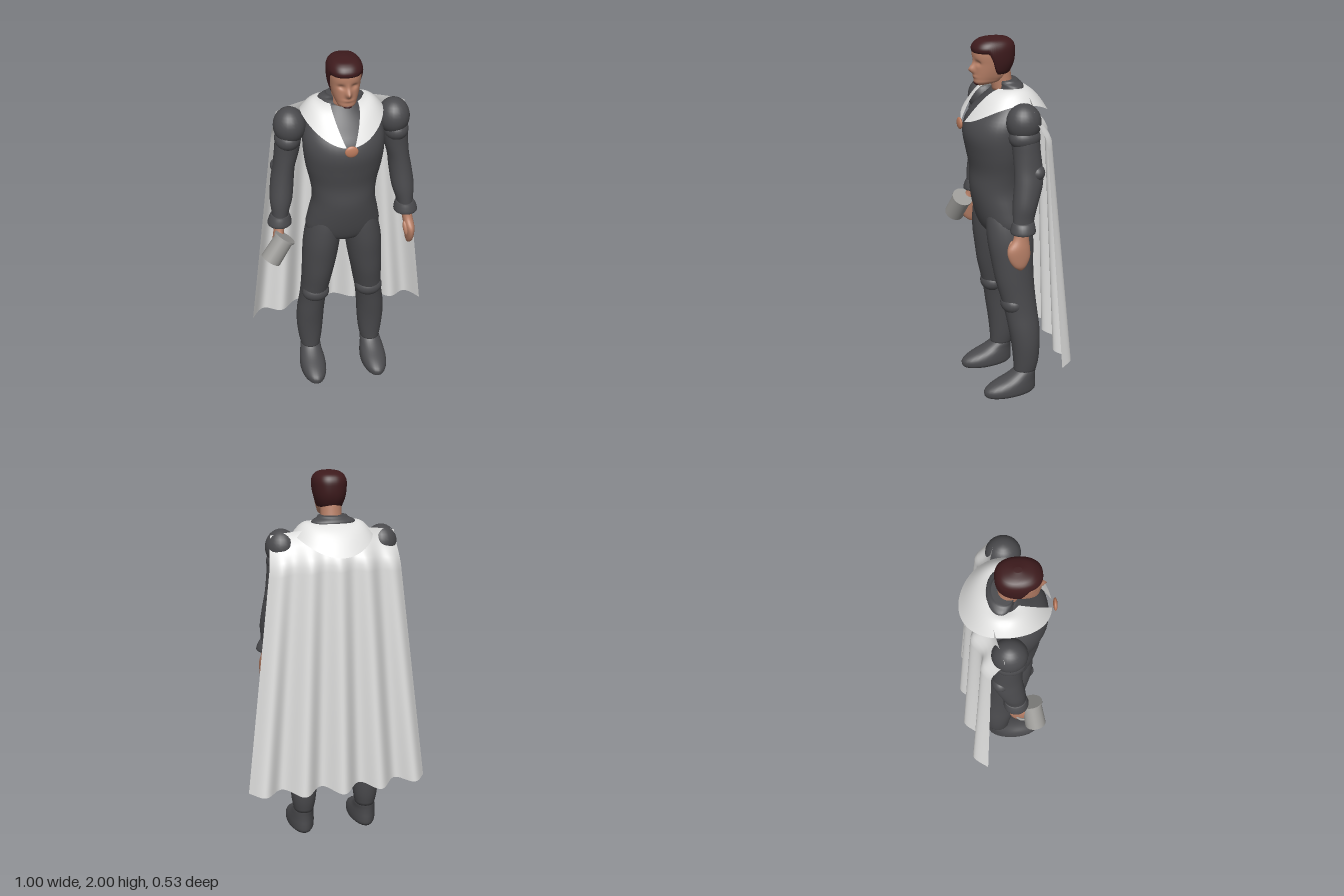
import * as THREE from 'three';

const mat = (name, color, side = THREE.FrontSide) => {
  const m = new THREE.MeshStandardMaterial({ color, side });
  m.name = name;
  return m;
};
const { lerp, smoothstep } = THREE.MathUtils;

// Smooth surface from a rule fn(u, v) -> [x, y, z]; optionally joined around u and capped.
function grid(fn, nu, nv, closed = false, caps = false) {
  const pos = [], idx = [], cols = closed ? nu : nu + 1;
  for (let j = 0; j <= nv; j++)
    for (let i = 0; i < cols; i++) pos.push(...fn(i / nu, j / nv));
  for (let j = 0; j < nv; j++)
    for (let i = 0; i < nu; i++) {
      const k = (i + 1) % cols, a = j * cols + i, b = j * cols + k;
      idx.push(a, b, a + cols, b, b + cols, a + cols);
    }
  if (caps) [0, nv].forEach((j) => {
    const c = pos.length / 3, mid = [0, 0, 0];
    for (let i = 0; i < cols; i++)
      for (let k = 0; k < 3; k++) mid[k] += pos[(j * cols + i) * 3 + k] / cols;
    pos.push(...mid);
    for (let i = 0; i < cols; i++) {
      const a = j * cols + i, b = j * cols + (i + 1) % cols;
      idx.push(...(j ? [a, b, c] : [b, a, c]));
    }
  });
  const g = new THREE.BufferGeometry();
  g.setAttribute('position', new THREE.Float32BufferAttribute(pos, 3));
  g.setIndex(idx);
  g.computeVertexNormals();
  return g;
}

// Body part from horizontal ovals, bottom to top: [y, centre x, half width, front z, back z].
function loft(sections, side = 1, nu = 28, steps = 4) {
  const n = sections.length - 1;
  const curve = new THREE.CubicInterpolant(sections.map((_, i) => i), new Float32Array(sections.flat()), 5);
  return grid((u, v) => {
    const [y, cx, hx, zf, zb] = curve.evaluate(v * n), a = u * Math.PI * 2;
    return [side * cx + Math.max(hx, 0.001) * Math.sin(a), y, (zf + zb) / 2 + (zf - zb) / 2 * Math.cos(a)];
  }, nu, n * steps, true, true);
}

const torso = [
  [0.92, 0, 0.06, 0.06, -0.06], [0.95, 0, 0.15, 0.12, -0.1], [1.0, 0, 0.2, 0.15, -0.11],
  [1.1, 0, 0.187, 0.178, -0.108], [1.2, 0, 0.168, 0.194, -0.09], [1.3, 0, 0.178, 0.192, -0.088],
  [1.4, 0, 0.2, 0.21, -0.1], [1.5, 0, 0.212, 0.225, -0.11], [1.58, 0, 0.208, 0.2, -0.11],
  [1.65, 0, 0.175, 0.135, -0.09], [1.7, 0, 0.12, 0.09, -0.08], [1.73, 0, 0.09, 0.06, -0.06]];
const leg = [
  [0.13, 0.178, 0.054, 0.018, -0.108], [0.2, 0.178, 0.067, 0.022, -0.122], [0.3, 0.178, 0.076, 0.032, -0.127],
  [0.4, 0.173, 0.077, 0.048, -0.127], [0.5, 0.161, 0.075, 0.065, -0.118], [0.6, 0.148, 0.08, 0.088, -0.11],
  [0.7, 0.137, 0.087, 0.112, -0.105], [0.8, 0.126, 0.095, 0.128, -0.106], [0.9, 0.116, 0.099, 0.143, -0.11],
  [0.98, 0.106, 0.096, 0.148, -0.107], [1.06, 0.095, 0.085, 0.146, -0.1], [1.16, 0.08, 0.06, 0.13, -0.07]];
const boot = [
  [0, 0.18, 0.058, 0.185, -0.094], [0.015, 0.18, 0.071, 0.199, -0.105], [0.045, 0.18, 0.074, 0.196, -0.106],
  [0.075, 0.18, 0.07, 0.15, -0.104], [0.105, 0.18, 0.062, 0.075, -0.104], [0.135, 0.178, 0.056, 0.022, -0.106],
  [0.155, 0.178, 0.045, 0.01, -0.1]];
const arm = [
  [1.07, 0.343, 0.042, 0.095, -0.012], [1.13, 0.338, 0.047, 0.095, -0.02], [1.2, 0.33, 0.06, 0.092, -0.04],
  [1.3, 0.318, 0.061, 0.08, -0.072], [1.38, 0.306, 0.058, 0.075, -0.075], [1.46, 0.291, 0.064, 0.076, -0.07],
  [1.54, 0.28, 0.067, 0.08, -0.065], [1.62, 0.27, 0.06, 0.07, -0.05]];
const cuff = [
  [1.045, 0.345, 0.045, 0.09, -0.005], [1.055, 0.345, 0.064, 0.11, -0.022], [1.085, 0.343, 0.059, 0.105, -0.02],
  [1.11, 0.34, 0.048, 0.096, -0.016]];
const hand = [
  [0.85, 0.362, 0.008, 0.075, 0.05], [0.875, 0.364, 0.019, 0.105, 0.03], [0.92, 0.363, 0.025, 0.13, 0.012],
  [0.97, 0.36, 0.028, 0.135, 0.012], [1.02, 0.352, 0.028, 0.1, 0.015], [1.08, 0.343, 0.032, 0.085, 0.01]];
const neckCollar = [
  [1.69, 0, 0.125, 0.07, -0.085], [1.74, 0, 0.12, 0.05, -0.086], [1.755, 0, 0.108, 0.05, -0.08],
  [1.765, 0, 0.086, 0.056, -0.07], [1.775, 0, 0.078, 0.056, -0.06]];
const neck = [[1.72, 0, 0.058, 0.07, -0.04], [1.78, 0, 0.056, 0.08, -0.03], [1.85, 0, 0.056, 0.09, -0.02]];

// Head ovals by height: [y, half width, front z, back z].
const skull = [
  [1.755, 0.018, 0.158, 0.115], [1.768, 0.044, 0.17, 0.05], [1.79, 0.057, 0.172, 0.005], [1.82, 0.067, 0.172, -0.015],
  [1.87, 0.077, 0.172, -0.032], [1.92, 0.082, 0.177, -0.037], [1.955, 0.079, 0.17, -0.034], [1.98, 0.064, 0.148, -0.018],
  [1.992, 0.044, 0.122, 0.006], [2.0, 0.006, 0.075, 0.055]];
const skullCurve = new THREE.CubicInterpolant(skull.map((s) => s[0]), new Float32Array(skull.map((s) => s.slice(1)).flat()), 3);
const squared = (t) => Math.sign(t) * Math.abs(t) ** 0.85;
function skullPoint(a, y, grow) {
  const [hx, zf, zb] = skullCurve.evaluate(y);
  return [(hx + grow) * squared(Math.sin(a)), y, (zf + zb) / 2 + ((zf - zb) / 2 + grow) * squared(Math.cos(a))];
}
const bump = (x, y, cx, cy, rx, ry) => Math.exp(-(((x - cx) / rx) ** 2) - ((y - cy) / ry) ** 2);

export function createModel() {
  const suit = mat('dark grey suit', 0x4a4a4d), skin = mat('skin', 0xb98168), hairMat = mat('dark red hair', 0x3e1b1d),
    cloth = mat('white cloth', 0xe2e2e1, THREE.DoubleSide), copper = mat('copper', 0xbd7c5e), metal = mat('grey metal', 0x9b9a97);
  const model = new THREE.Group();
  const add = (name, geo, m, p = [0, 0, 0], s = [1, 1, 1], parent = model) => {
    const mesh = new THREE.Mesh(geo, m);
    mesh.name = name;
    mesh.position.set(...p);
    mesh.scale.set(...s);
    parent.add(mesh);
    return mesh;
  };
  const ball = new THREE.SphereGeometry(1, 24, 16);

  add('torso', loft(torso, 1, 40), suit);
  add('neckCollar', loft(neckCollar), suit);
  add('neck', loft(neck), skin);

  // Limbs with their armour pads
  for (const [label, s] of [['left', 1], ['right', -1]]) {
    add(label + 'Leg', loft(leg, s), suit);
    add(label + 'Boot', loft(boot, s), suit);
    add(label + 'KneePad', ball, suit, [s * 0.152, 0.552, 0.022], [0.077, 0.058, 0.064]);
    add(label + 'Arm', loft(arm, s), suit);
    add(label + 'Cuff', loft(cuff, s), suit);
    add(label + 'ShoulderPad', ball, suit, [s * 0.272, 1.615, 0.012], [0.084, 0.097, 0.09]);
    add(label + 'ShoulderPlate', ball, suit, [s * 0.284, 1.54, 0.012], [0.068, 0.062, 0.083]);
    add(label + 'ElbowPad', ball, suit, [s * 0.318, 1.36, -0.036], [0.056, 0.045, 0.046]);
    add(label + 'Hand', loft(hand, s), skin);
    add(label + 'Thumb', ball, skin, [s * 0.333, 0.965, 0.105], [0.013, 0.042, 0.018]).rotation.set(-0.3, 0, s * 0.12);
  }

  // Head: nose raised and eye sockets pressed in
  add('head', grid((u, v) => {
    const p = skullPoint(u * Math.PI * 2, lerp(1.755, 1.96, v), 0);
    if (p[2] > 0.08) {
      const [x, y] = p;
      p[2] += 0.027 * bump(x, y, 0, 1.838, 0.013, 0.02) + 0.01 * bump(x, y, 0, 1.862, 0.009, 0.025)
        - 0.012 * bump(Math.abs(x), y, 0.033, 1.875, 0.016, 0.013) + 0.005 * bump(x, y, 0, 1.802, 0.025, 0.008);
    }
    return p;
  }, 72, 48, true, true), skin);
  add('goatee', ball, hairMat, [0, 1.766, 0.155], [0.024, 0.011, 0.018]);
  add('hair', grid((u, v) => {
    const a = u * Math.PI * 2, line = lerp(1.815, 1.928, smoothstep(Math.cos(a), -0.1, 0.42));
    return skullPoint(a, lerp(line, 2, 1 - (1 - v) ** 2), 0.008 * Math.min(1, v * 5 + 0.3));
  }, 72, 18, true, true), hairMat);

  // Cape: folds deepen toward the hem
  add('cape', grid((u, v) => {
    const t = u * 2 - 1, drop = smoothstep(v, 0, 0.13), fold = Math.cos(t * Math.PI * 2 * 2.33);
    const x = t * lerp(0.335, 0.5, v);
    const y = lerp(1.72 - 0.035 * t * t, 0.295 + 0.012 * (1 - fold) * (1 - t * t), v);
    const z = lerp(-0.075, lerp(-0.165, -0.225, v), drop) + lerp(0.06, 0.082, drop) * t * t - lerp(0.012, 0.042, v) * drop * fold;
    return [x, y, z];
  }, 96, 40), cloth);

  // Shoulder mantle, open in a V at the front
  add('mantle', grid((u, v) => {
    const gap = lerp(0.72, 0.1, v), a = lerp(gap, Math.PI * 2 - gap, u), c = Math.cos(a);
    const rim = 1.682 - (c > 0 ? 0.11 : 0.092) * c * c;
    return [Math.sin(a) * lerp(0.105, 0.212, v), lerp(1.742, rim, v) + 0.026 * Math.sin(v * Math.PI),
      c * lerp(0.088, c > 0 ? 0.238 : 0.224, v)];
  }, 64, 10), cloth);
  add('clasp', ball, copper, [0, 1.562, 0.255], [0.034, 0.031, 0.011]);

  // Tankard held in the right hand
  const cup = new THREE.Group();
  cup.name = 'tankard';
  cup.position.set(-0.372, 0.95, 0.136);
  cup.quaternion.setFromUnitVectors(new THREE.Vector3(0, 1, 0), new THREE.Vector3(0.083, 0.12, -0.02).normalize());
  add('cupBody', new THREE.CylinderGeometry(0.052, 0.056, 0.148, 28), metal, [0, 0, 0], [1, 1, 1], cup);
  add('cupRim', new THREE.CylinderGeometry(0.059, 0.059, 0.012, 28), metal, [0, 0.07, 0], [1, 1, 1], cup);
  add('cupHandle', new THREE.TorusGeometry(0.038, 0.007, 8, 20), metal, [0, 0, -0.055], [1, 1, 1], cup).rotation.y = Math.PI / 2;
  model.add(cup);

  return model;
}
